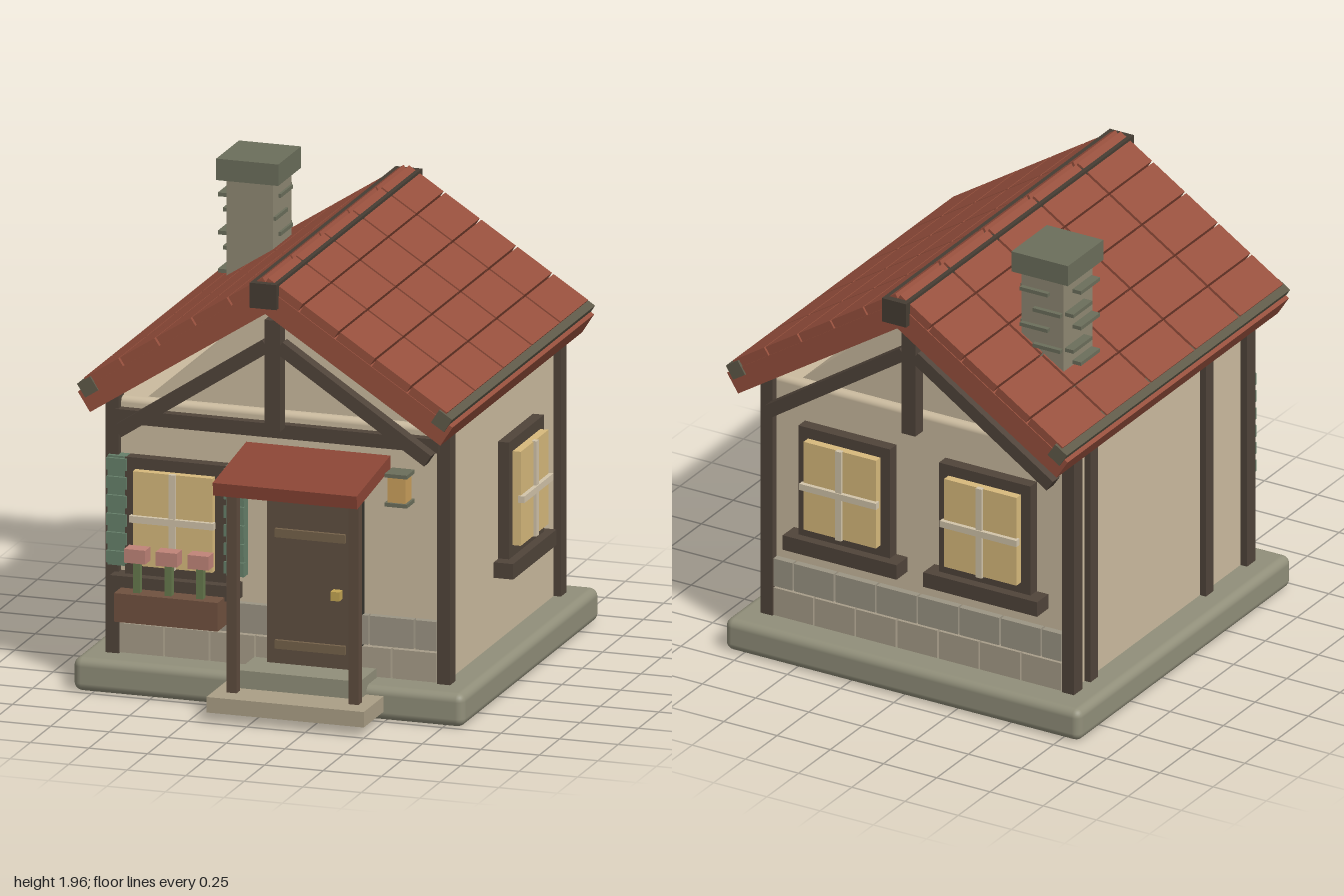
import * as THREE from 'three';
import { RoundedBoxGeometry } from 'three/addons/geometries/RoundedBoxGeometry.js';

const COLORS = {
  stone: 0x918f7a, wall: 0xcbbb9f, timber: 0x50443a, lightTimber: 0x5e4c3e, roof: 0x97503d,
  glass: 0xd8ba7c, cream: 0xd2c4aa, green: 0x66806a, door: 0x5f4f40, dark: 0x35332d,
  strap: 0x75624a, gold: 0xc2a452, chimney: 0x8f8873, cap: 0x6b6e5b, gutter: 0x5f5a49,
  ridge: 0x463d33, step: 0xab9f86, brickA: 0xa79d89, brickB: 0x9c9584, planter: 0x70513f,
  stem: 0x66794d, petal: 0xc08478, lamp: 0xcba05c, canopy: 0x8c4636,
};
const mats = {};
for (const k in COLORS) mats[k] = new THREE.MeshStandardMaterial({ color: COLORS[k] });

function add(parent, name, geometry, color, x = 0, y = 0, z = 0) {
  const m = new THREE.Mesh(geometry, mats[color]);
  m.name = name;
  m.position.set(x, y, z);
  parent.add(m);
  return m;
}
// box given by its minimum and maximum on each axis
function span(parent, name, color, [x0, x1], [y0, y1], [z0, z1], radius = 0) {
  const s = [x1 - x0, y1 - y0, z1 - z0];
  const g = radius ? new RoundedBoxGeometry(...s, 3, radius) : new THREE.BoxGeometry(...s);
  return add(parent, name, g, color, (x0 + x1) / 2, (y0 + y1) / 2, (z0 + z1) / 2);
}
function group(parent, name) {
  const g = new THREE.Group();
  g.name = name;
  parent.add(g);
  return g;
}

const MID = -0.1; // centre of the house in z
const FRONT = 0.585, BACK = -0.785;

// window facing +z with its back on z = 0, then turned to its wall
function addWindow(parent, x, y, z, turn) {
  const w = group(parent, 'window');
  for (const s of [-1, 1]) {
    add(w, 'frameSide', new THREE.BoxGeometry(0.045, 0.49, 0.06), 'timber', s * 0.1925, 0, 0.022);
    add(w, 'frameRail', new THREE.BoxGeometry(0.43, 0.05, 0.06), 'timber', 0, s * 0.22, 0.022);
  }
  add(w, 'glass', new THREE.BoxGeometry(0.34, 0.395, 0.09), 'glass', 0, 0, 0.042);
  add(w, 'mullion', new THREE.BoxGeometry(0.028, 0.4, 0.02), 'cream', 0, 0, 0.09);
  add(w, 'crossbar', new THREE.BoxGeometry(0.36, 0.028, 0.026), 'cream', 0, 0, 0.092);
  add(w, 'sill', new THREE.BoxGeometry(0.535, 0.065, 0.1), 'timber', 0, -0.28, 0.038);
  w.position.set(x, y, z);
  w.rotation.y = turn;
}

function addGableTimbers(house, z) {
  const g = group(house, 'gableTimbers');
  add(g, 'kingPost', new THREE.BoxGeometry(0.066, 0.465, 0.06), 'timber', 0, 1.388, z);
  for (const s of [-1, 1]) {
    const brace = add(g, 'brace', new THREE.BoxGeometry(0.76, 0.055, 0.055), 'timber', s * 0.345, 1.3, z);
    brace.rotation.z = -s * 0.583;
  }
}

function addRoof(house) {
  const roof = group(house, 'roof');
  for (const turn of [0, Math.PI]) {
    const side = group(roof, 'roofSide');
    side.position.set(0, 1.786, MID);
    side.rotation.y = turn;
    const slope = group(side, 'slope');
    slope.rotation.z = -0.573;
    span(slope, 'roofSlab', 'roof', [0, 0.952], [-0.096, 0], [-0.872, 0.872]);
    span(slope, 'eaveBeam', 'gutter', [0.868, 0.934], [-0.035, 0.03], [-0.88, 0.88]);
    for (let r = 0; r < 5; r++) for (let c = 0; c < 5; c++) {
      const x = -0.01 + r * 0.1835, z = (c - 2) * 0.35;
      span(slope, 'tile', 'roof', [x, x + 0.175], [0, 0.037], [z - 0.168, z + 0.168]);
    }
  }
  span(roof, 'ridgeBeam', 'ridge', [-0.057, 0.057], [1.7, 1.805], [-0.998, 0.798]);
}

function addChimney(house) {
  const c = group(house, 'chimney');
  span(c, 'stack', 'chimney', [-0.565, -0.367], [1.22, 1.88], [-0.61, -0.38]);
  span(c, 'chimneyCap', 'cap', [-0.6, -0.335], [1.87, 1.96], [-0.635, -0.355]);
  // thin brick courses standing proud of the stack
  for (let i = 0; i < 6; i++) {
    const y = 1.4 + i * 0.08, shift = i % 2 ? 0.03 : -0.03;
    add(c, 'course', new THREE.BoxGeometry(0.05, 0.016, 0.15), 'cap', -0.58, y, -0.495 + shift);
    add(c, 'course', new THREE.BoxGeometry(0.13, 0.016, 0.04), 'cap', -0.466 + shift, y, -0.61);
    add(c, 'course', new THREE.BoxGeometry(0.02, 0.016, 0.15), 'cap', -0.367, y, -0.495 - shift);
  }
}

// two staggered rows of stones along the foot of a wall
function addStones(house, z) {
  const g = group(house, 'stoneCourse');
  const pitch = 1.36 / 7;
  for (let row = 0; row < 2; row++) {
    for (let i = 0; i < 7 + row; i++) {
      const x0 = -0.68 + (i - row / 2) * pitch;
      const a = Math.max(x0, -0.68) + 0.004, b = Math.min(x0 + pitch, 0.68) - 0.004;
      span(g, 'stone', row ? 'brickB' : 'brickA', [a, b], [0.145 + row * 0.131, 0.268 + row * 0.131], [z - 0.03, z + 0.03]);
    }
  }
}

function addFrontWindowDressing(house) {
  const g = group(house, 'shuttersAndPlanter');
  for (const x of [-0.68, -0.178]) {
    span(g, 'shutter', 'green', [x - 0.04, x + 0.04], [0.515, 0.975], [FRONT, 0.635]);
    for (let i = 0; i < 6; i++)
      add(g, 'slat', new THREE.BoxGeometry(0.086, 0.05, 0.02), 'green', x, 0.552 + i * 0.078, 0.637);
  }
  span(g, 'planter', 'planter', [-0.65, -0.207], [0.315, 0.435], [0.61, 0.76]);
  for (let i = 0; i < 3; i++) {
    const x = -0.565 + i * 0.135;
    add(g, 'stem', new THREE.BoxGeometry(0.03, 0.14, 0.03), 'stem', x, 0.5, 0.715);
    add(g, 'flower', new THREE.BoxGeometry(0.09, 0.058, 0.065), 'petal', x, 0.593, 0.718);
  }
}

function addEntrance(house) {
  const g = group(house, 'entrance');
  span(g, 'doorFrame', 'dark', [-0.04, 0.36], [0.17, 0.885], [0.56, 0.645], 0.02);
  span(g, 'door', 'door', [-0.027, 0.345], [0.18, 0.87], [0.6, 0.67]);
  for (const y of [0.262, 0.73])
    span(g, 'doorStrap', 'strap', [0.01, 0.31], [y - 0.018, y + 0.018], [0.66, 0.685]);
  span(g, 'doorHandle', 'gold', [0.257, 0.295], [0.475, 0.513], [0.66, 0.71]);
  span(g, 'upperStep', 'stone', [-0.1, 0.42], [0.08, 0.18], [0.58, 0.82]);
  span(g, 'lowerStep', 'step', [-0.177, 0.495], [0.04, 0.105], [0.68, 0.985]);
  for (const x of [-0.1, 0.42])
    span(g, 'porchPost', 'lightTimber', [x - 0.021, x + 0.021], [0.1, 0.985], [0.853, 0.896]);
  const canopy = add(g, 'porchCanopy', new THREE.BoxGeometry(0.615, 0.056, 0.43), 'canopy', 0.162, 1.014, 0.783);
  canopy.rotation.x = 0.143;
  // wall lantern beside the door
  span(g, 'lanternBracket', 'dark', [0.515, 0.555], [0.95, 0.98], [FRONT, 0.64]);
  span(g, 'lantern', 'lamp', [0.497, 0.573], [0.905, 1.018], [0.622, 0.698]);
  for (const y of [0.9, 1.022])
    span(g, 'lanternRim', 'cap', [0.487, 0.583], [y - 0.008, y + 0.008], [0.612, 0.708]);
}

export function createModel() {
  const house = new THREE.Group();
  house.name = 'cottage';
  span(house, 'foundation', 'stone', [-0.835, 0.835], [0, 0.14], [-0.94, 0.74], 0.035);
  span(house, 'walls', 'wall', [-0.705, 0.705], [0.1, 1.21], [BACK, FRONT], 0.025);

  // gable wall under the roof
  const tri = new THREE.Shape([new THREE.Vector2(-0.6, 1.19), new THREE.Vector2(0.6, 1.19), new THREE.Vector2(0, 1.7)]);
  add(house, 'gable', new THREE.ExtrudeGeometry(tri, { depth: 1.3, bevelEnabled: false }), 'wall', 0, 0, MID - 0.65);

  // corner posts, front beam and boards on the plain side wall
  for (const x of [-0.708, 0.708]) for (const z of [0.583, -0.781])
    span(house, 'cornerPost', 'timber', [x - 0.028, x + 0.028], [0.13, 1.23], [z - 0.034, z + 0.034]);
  span(house, 'frontBeam', 'timber', [-0.69, 0.69], [1.11, 1.168], [0.56, 0.625]);
  for (const z of [-0.65, 0.26])
    span(house, 'sideBoard', 'timber', [-0.733, -0.69], [0.13, 1.2], [z - 0.03, z + 0.03]);
  addGableTimbers(house, 0.655);
  addGableTimbers(house, -0.855);

  addRoof(house);
  addChimney(house);
  addStones(house, FRONT);
  addStones(house, BACK);

  addWindow(house, -0.43, 0.73, FRONT, 0);
  addWindow(house, 0.7, 0.73, -0.277, Math.PI / 2);
  for (const x of [-0.33, 0.33]) addWindow(house, x, 0.795, BACK, Math.PI);
  addFrontWindowDressing(house);
  addEntrance(house);
  return house;
}
